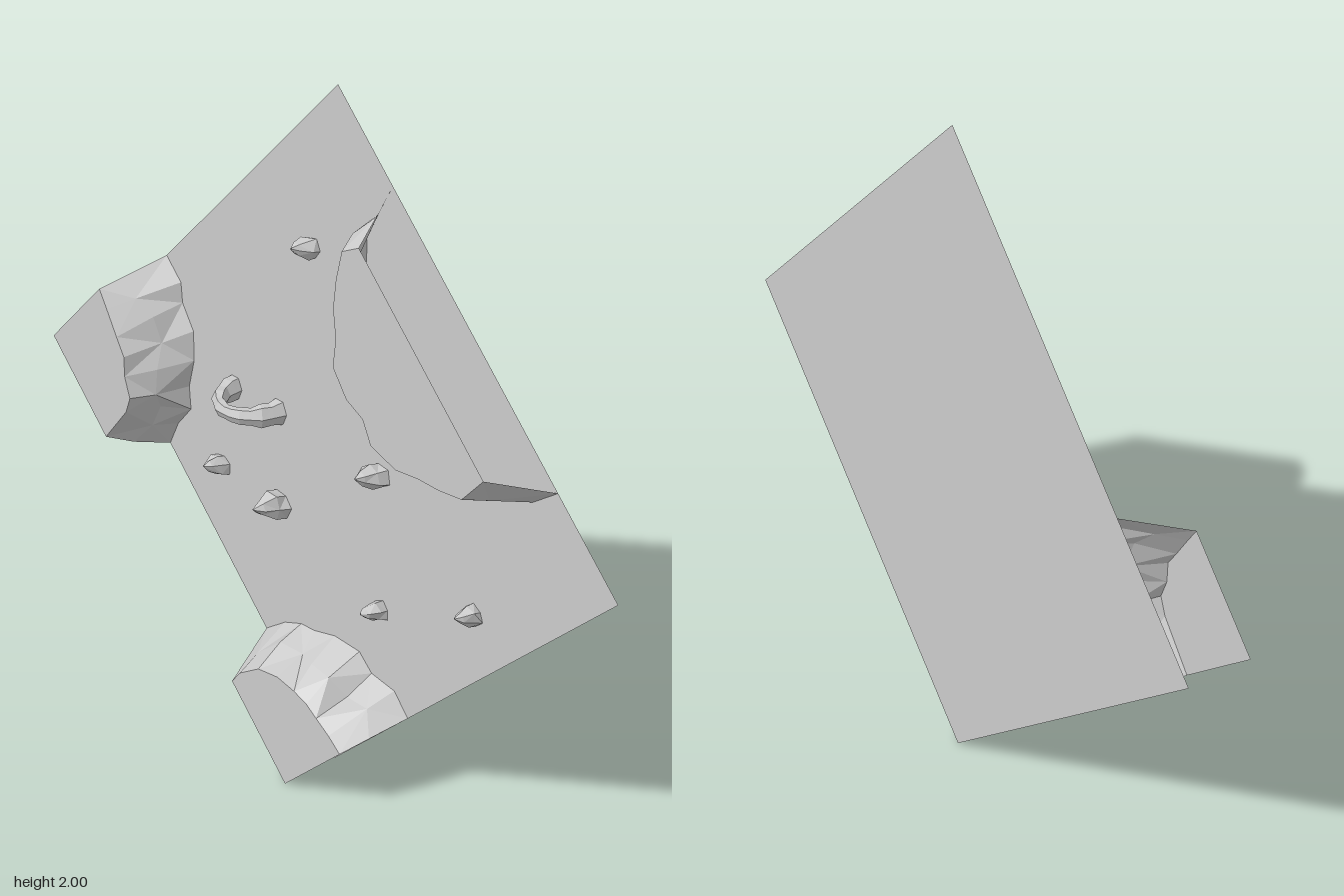
import * as THREE from 'three';

const GROUND = -0.09, TOP = 0.09;
const material = new THREE.MeshStandardMaterial({ color: 0xcccccc, flatShading: true, side: THREE.DoubleSide });

function addMesh(parent, geometry, name) {
  const mesh = new THREE.Mesh(geometry, material);
  mesh.name = name;
  parent.add(mesh);
  return mesh;
}

// Flat polygon in the xy plane at depth z, facing +z
function flatPolygon(points, z) {
  const shape = new THREE.Shape(points.map(([x, y]) => new THREE.Vector2(x, y)));
  return new THREE.ShapeGeometry(shape).translate(0, 0, z);
}

// Joins rows of points into a faceted skin; all rows have the same length
function skin(rows) {
  const position = rows.flat(2), index = [], n = rows[0].length;
  for (let r = 0; r < rows.length - 1; r++) {
    for (let i = 0; i < n - 1; i++) {
      const a = r * n + i, b = a + 1, c = a + n, d = c + 1;
      if ((r + i) % 2) index.push(a, c, b, b, c, d);
      else index.push(a, c, d, a, d, b);
    }
  }
  const geometry = new THREE.BufferGeometry();
  geometry.setAttribute('position', new THREE.Float32BufferAttribute(position, 3));
  geometry.setIndex(index);
  geometry.computeVertexNormals();
  return geometry;
}

// Raised plateau: rocky slope from foot line to rim line, plus a flat top
function plateau(name, foot, rim, corner) {
  const group = new THREE.Group();
  group.name = name;
  const last = foot.length - 1;
  const middle = foot.map(([x, y], i) => {
    const t = 0.5 + (i > 0 && i < last ? 0.16 * Math.sin(i * 2.4) : 0);
    return [x + (rim[i][0] - x) * t, y + (rim[i][1] - y) * t, 0.02 * Math.sin(i * 1.7)];
  });
  addMesh(group, skin([foot.map((p) => [...p, GROUND]), middle, rim.map((p) => [...p, TOP])]), 'cliffFace');
  addMesh(group, flatPolygon(corner ? [...rim, corner] : rim, TOP), 'plateauTop');
  return group;
}

// Irregular pointed stone standing on the ground
function stone(x, y, radius, height, seed) {
  const sides = 6, rows = [];
  [[0, 0.95], [0.35, 0.9], [0.75, 0.5], [1, 0.08]].forEach(([h, s], r) => {
    const row = [];
    for (let i = 0; i <= sides; i++) {
      const k = i % sides;
      const a = k / sides * Math.PI * 2 + seed;
      const q = radius * s * (1 + 0.15 * Math.sin(k * 2.3 + r * 1.9 + seed * 3));
      row.push([x + q * Math.cos(a), y + q * Math.sin(a) + 0.006 * r, GROUND + h * height]);
    }
    rows.push(row);
  });
  return skin(rows.map((row) => row.reverse()).reverse());
}

// Rock arch: thick at the feet, thin at the crown
function arch() {
  const rows = [], steps = 12, sides = 6;
  for (let s = 0; s <= steps; s++) {
    const a = Math.PI * s / steps, lean = Math.abs(Math.cos(a));
    const r = 0.02 + 0.013 * lean ** 3 + 0.003 * Math.sin(s * 2.7);
    const row = [];
    for (let i = 0; i <= sides; i++) {
      const b = (i % sides) / sides * Math.PI * 2;
      const out = r * 0.85 * Math.cos(b);
      row.push([
        -0.32 - (0.092 + out) * Math.cos(a),
        1.01 + r * 1.1 * Math.sin(b),
        GROUND + (0.107 + out) * Math.sin(a),
      ]);
    }
    rows.push(row);
  }
  return skin(rows);
}

export function createModel() {
  const model = new THREE.Group();
  model.name = 'terrainTile';

  // Diamond-shaped ground sheet
  addMesh(model, flatPolygon([[0, 0], [1, 1], [0, 2], [-1, 1]], GROUND), 'ground');

  // Corner and edge plateaus
  model.add(plateau('sidePlateau',
    [[-0.7, 1.3], [-0.64, 1.24], [-0.635, 1.18], [-0.59, 1.11], [-0.59, 1.02], [-0.615, 0.93], [-0.61, 0.86], [-0.67, 0.79], [-0.71, 0.71]],
    [[-0.77, 1.23], [-0.74, 1.18], [-0.7, 1.11], [-0.67, 1.06], [-0.67, 1], [-0.65, 0.94], [-0.67, 0.89], [-0.72, 0.83], [-0.77, 0.77]],
    [-1, 1]));
  model.add(plateau('lowerPlateau',
    [[-0.29, 0.29], [-0.21, 0.35], [-0.14, 0.38], [-0.085, 0.385], [0, 0.41], [0.1, 0.41], [0.15, 0.365], [0.24, 0.355], [0.295, 0.295]],
    [[-0.225, 0.225], [-0.19, 0.27], [-0.11, 0.325], [-0.03, 0.34], [0.04, 0.33], [0.09, 0.315], [0.13, 0.29], [0.18, 0.26], [0.225, 0.225]],
    [0, 0]));
  model.add(plateau('upperPlateau',
    [[0.2, 1.8], [0.15, 1.71], [0.11, 1.63], [0.11, 1.53], [0.085, 1.41], [0.11, 1.29], [0.18, 1.26], [0.26, 1.17], [0.32, 1.11], [0.43, 1.1], [0.52, 1.085], [0.61, 1.11], [0.71, 1.15], [0.79, 1.21]].reverse(),
    [[0.28, 1.72], [0.22, 1.69], [0.2, 1.61], [0.19, 1.53], [0.2, 1.45], [0.19, 1.37], [0.24, 1.3], [0.3, 1.27], [0.33, 1.21], [0.42, 1.18], [0.5, 1.19], [0.57, 1.19], [0.65, 1.2], [0.72, 1.28]].reverse()));

  // Scattered stones: x, y, radius, height
  [
    [-0.095, 1.535, 0.033, 0.07],
    [0.17, 0.99, 0.038, 0.085],
    [-0.47, 0.745, 0.033, 0.07],
    [-0.22, 0.73, 0.042, 0.1],
    [0.53, 0.74, 0.031, 0.07],
    [0.185, 0.585, 0.031, 0.075],
  ].forEach(([x, y, r, h], i) => addMesh(model, stone(x, y, r, h, i * 0.7), 'stone'));

  addMesh(model, arch(), 'rockArch');
  return model;
}
